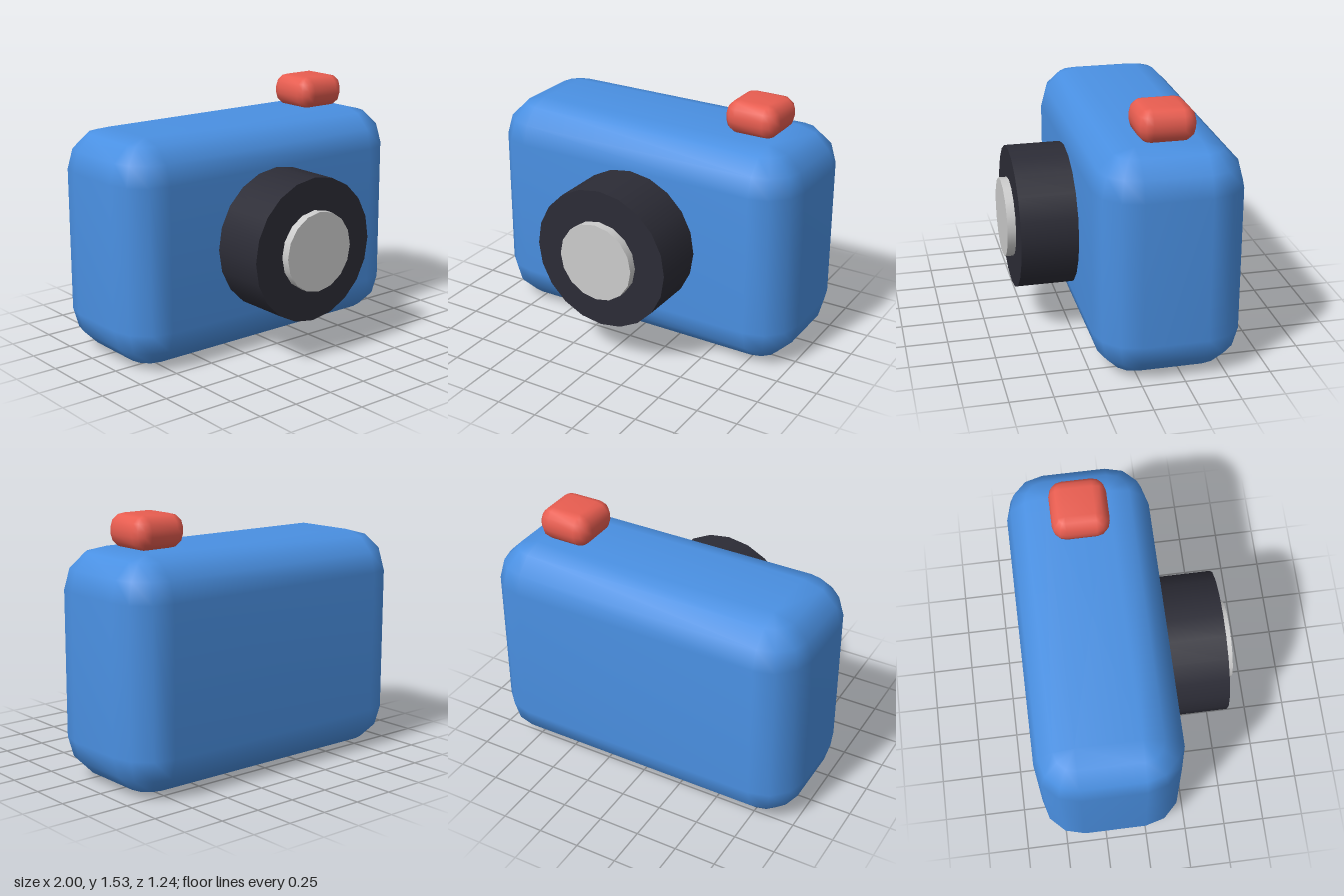
import * as THREE from 'three';

// Box with rounded edges: each quarter turn has three 30-degree steps
function roundedBox(w, h, d, r) {
  const cols = 16, positions = [], index = [];
  const cx = w / 2 - r, cy = h / 2 - r, cz = d / 2 - r;
  const lat = [0, 30, 60, 90, 90, 120, 150, 180];
  positions.push(0, h / 2, 0);
  lat.forEach((deg, row) => {
    const a = THREE.MathUtils.degToRad(deg);
    for (let i = 0; i < cols; i++) {
      const q = Math.floor(i / 4);
      const b = THREE.MathUtils.degToRad(q * 90 + (i % 4) * 30);
      const sx = q === 0 || q === 3 ? 1 : -1;
      const sz = q < 2 ? 1 : -1;
      positions.push(
        sx * cx + r * Math.sin(a) * Math.cos(b),
        (row < 4 ? cy : -cy) + r * Math.cos(a),
        sz * cz + r * Math.sin(a) * Math.sin(b));
    }
  });
  positions.push(0, -h / 2, 0);
  // The end rows hold only four distinct corners
  const id = (row, i) => {
    const k = i % cols;
    return 1 + row * cols + (row === 0 || row === 7 ? k - (k % 4) : k);
  };
  const tri = (a, b, c) => {
    if (a !== b && b !== c && a !== c) index.push(a, b, c);
  };
  const last = 1 + lat.length * cols;
  for (let i = 0; i < cols; i++) {
    tri(0, id(0, i + 1), id(0, i));
    for (let row = 0; row < 7; row++) {
      tri(id(row, i), id(row, i + 1), id(row + 1, i));
      tri(id(row, i + 1), id(row + 1, i + 1), id(row + 1, i));
    }
    tri(last, id(7, i), id(7, i + 1));
  }
  const geometry = new THREE.BufferGeometry();
  geometry.setAttribute('position', new THREE.Float32BufferAttribute(positions, 3));
  geometry.setIndex(index);
  geometry.computeVertexNormals();
  return geometry;
}

// Cylinder lying along z between two depths
function barrel(radius, z0, z1, sides) {
  const geometry = new THREE.CylinderGeometry(radius, radius, z1 - z0, sides);
  geometry.rotateX(Math.PI / 2);
  geometry.translate(0, 0, (z0 + z1) / 2);
  return geometry;
}

export function createModel() {
  const group = new THREE.Group();
  const add = (name, geometry, color, x, y, z) => {
    const mesh = new THREE.Mesh(geometry, new THREE.MeshStandardMaterial({ color }));
    mesh.name = name;
    mesh.position.set(x, y, z);
    group.add(mesh);
  };

  add('body', roundedBox(2, 1.335, 0.855, 0.24), 0x4a90e2, 0, 0.6675, -0.1925);
  add('lensBarrel', barrel(0.427, 0.15, 0.57, 20), 0x2c2c36, 0, 0.668, 0);
  add('lensGlass', barrel(0.237, 0.5, 0.62, 16), 0xcccccc, 0, 0.668, 0);
  add('shutterButton', roundedBox(0.333, 0.195, 0.333, 0.08), 0xe85d50, 0.617, 1.43, -0.192);

  return group;
}
